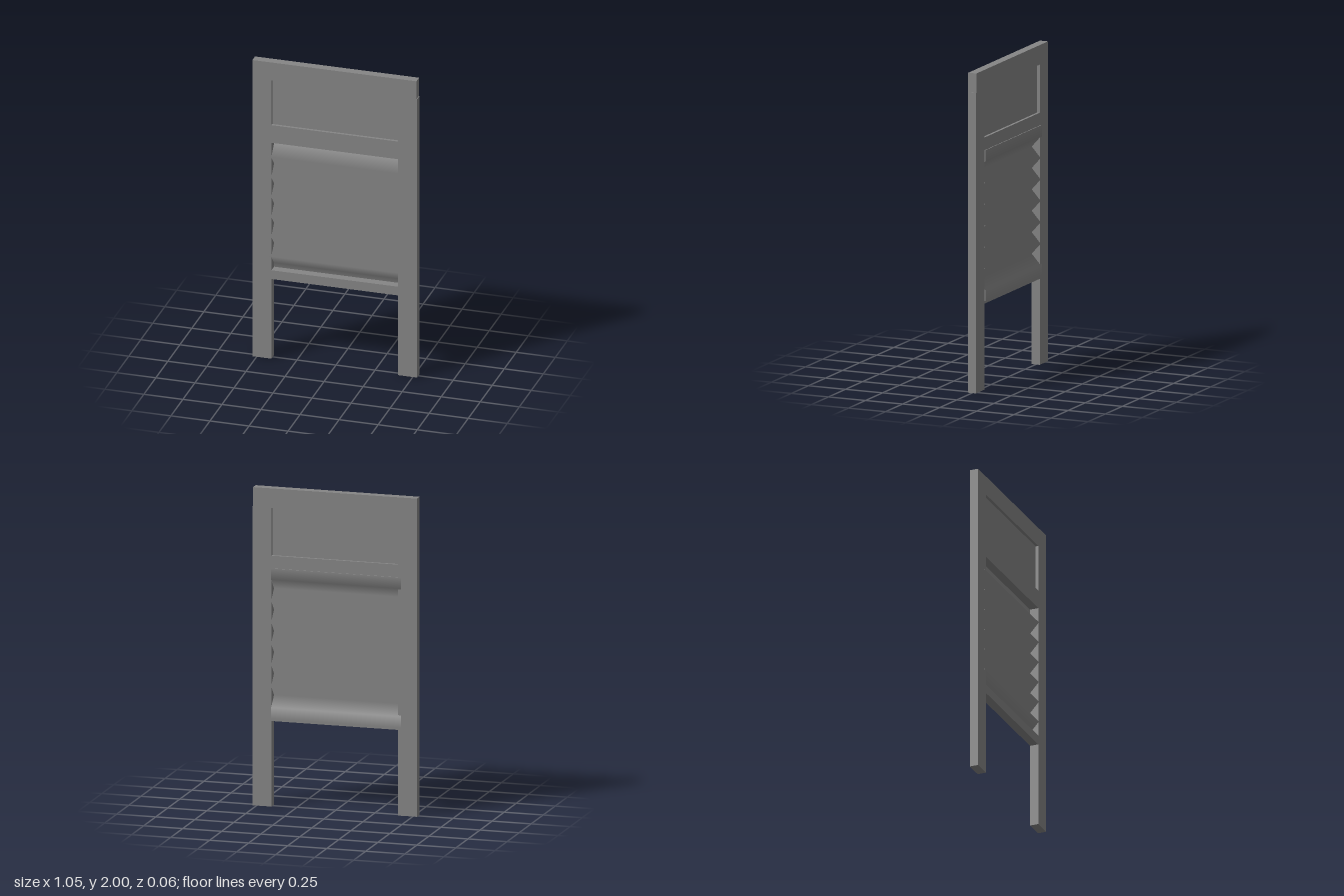
import * as THREE from 'three';

const material = new THREE.MeshStandardMaterial({ color: 0x868686 });

// Box given by its limits on each axis
function board(name, x0, x1, y0, y1, z0, z1) {
  const geometry = new THREE.BoxGeometry(x1 - x0, y1 - y0, z1 - z0);
  geometry.translate((x0 + x1) / 2, (y0 + y1) / 2, (z0 + z1) / 2);
  const mesh = new THREE.Mesh(geometry, material);
  mesh.name = name;
  return mesh;
}

// Thin sheet folded into ridges, with a flat flange at its top and bottom
function ribbedSheet() {
  const rows = 14, top = 1.498, bottom = 0.554, flange = 0.07;
  const back = -0.0305, front = 0.0295, x0 = -0.426, x1 = 0.405;
  const pitch = (top - bottom - 2 * flange) / (rows - 2);

  // Fold lines from top to bottom
  const folds = [];
  for (let row = 0; row <= rows; row++) {
    const end = row === 0 || row === rows;
    const y = row === 0 ? top : row === rows ? bottom : top - flange - (row - 1) * pitch;
    folds.push({ y, z: !end && row % 2 === 0 ? front : back });
  }

  const geometry = new THREE.BoxGeometry(x1 - x0, 1, 0.005, 1, rows, 1);
  const p = geometry.attributes.position, n = geometry.attributes.normal;
  for (let i = 0; i < p.count; i++) {
    const row = Math.round((0.5 - p.getY(i)) * rows);
    p.setXYZ(i, p.getX(i) + (x0 + x1) / 2, folds[row].y, p.getZ(i) + folds[row].z);
    // Both broad faces are shaded smoothly across each fold
    if (n.getZ(i) !== 0) {
      const a = folds[Math.max(row - 1, 0)], b = folds[Math.min(row + 1, rows)];
      const normal = new THREE.Vector3(0, b.z - a.z, a.y - b.y).normalize();
      normal.multiplyScalar(Math.sign(n.getZ(i)));
      n.setXYZ(i, normal.x, normal.y, normal.z);
    }
  }
  const mesh = new THREE.Mesh(geometry, material);
  mesh.name = 'ribbedSheet';
  return mesh;
}

export function createModel() {
  const group = new THREE.Group();
  group.name = 'washboard';
  const zb = -0.027, zf = 0.028, inner = 0.405, outer = 0.527;

  // Uprights that run down into the legs
  group.add(board('rightLeg', -outer, -inner, 0, 1.878, zb, zf));
  group.add(board('leftLeg', inner, outer, 0, 1.878, zb, zf));

  // Cross rails; the top one caps both uprights
  group.add(board('topRail', -outer, 0.523, 1.878, 2, zb, zf));
  group.add(board('middleRail', -inner, inner, 1.458, 1.577, zb, zf));
  group.add(board('bottomRail', -inner, inner, 0.538, 0.597, zb, zf));

  // Recessed upper panel
  group.add(board('upperPanel', -inner, inner, 1.577, 1.878, -0.01, 0.01));

  // Rubbing surface
  group.add(ribbedSheet());
  return group;
}
